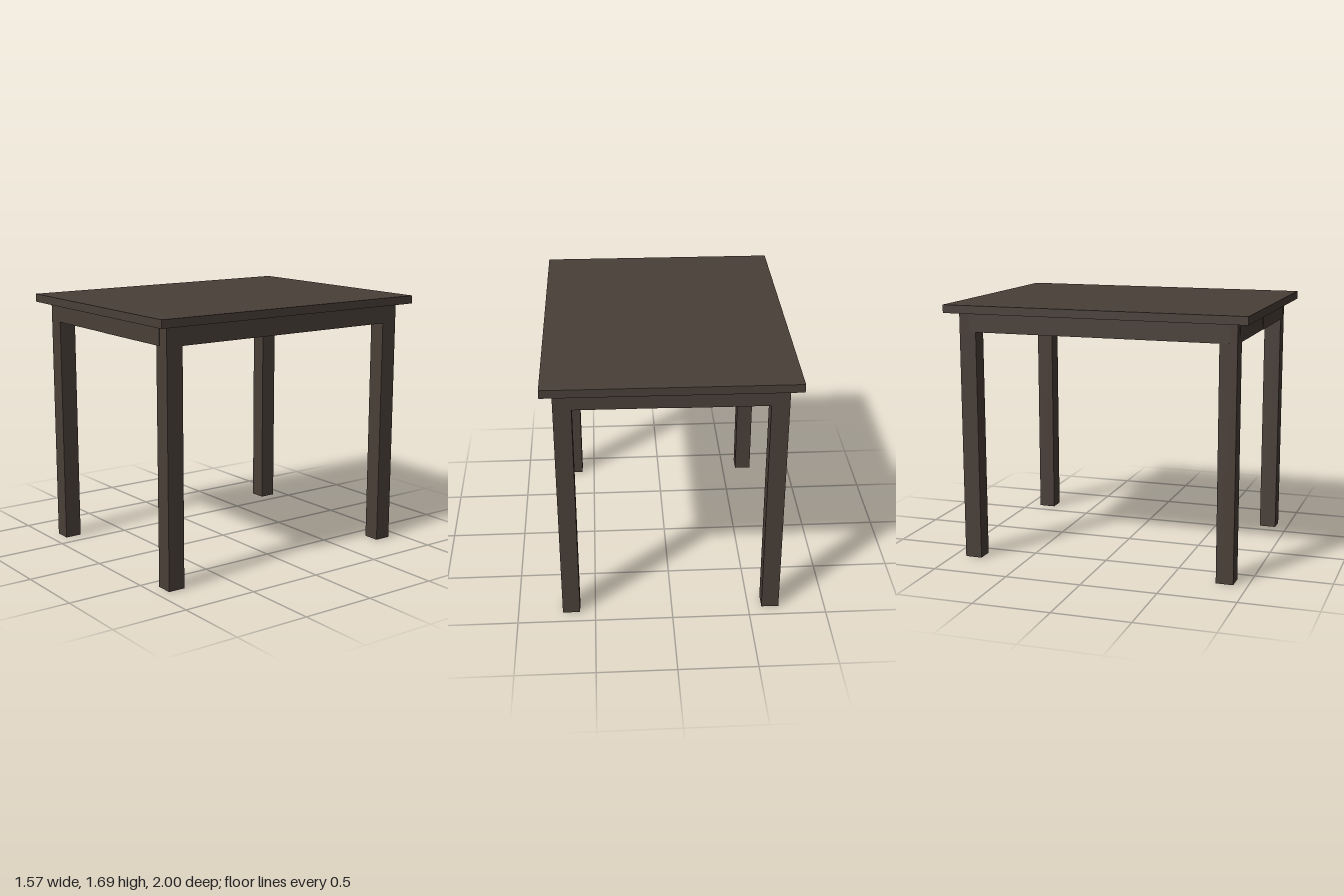
import * as THREE from 'three';

export function createModel() {
  const table = new THREE.Group();
  table.name = 'table';
  const darkWood = new THREE.MeshStandardMaterial({ color: 0x4a3f38 });
  darkWood.name = 'darkWood';

  const box = (name, w, h, d, x, y, z) => {
    const mesh = new THREE.Mesh(new THREE.BoxGeometry(w, h, d), darkWood);
    mesh.name = name;
    mesh.position.set(x, y, z);
    table.add(mesh);
    return mesh;
  };

  const legTop = 1.627, legX = 0.65, legZ = 0.858, legSize = 0.112;
  const apronH = 0.117, apronY = legTop - apronH / 2, apronT = 0.03;
  const topBottom = 1.635, topHeight = 0.053;

  // tabletop
  box('tabletop', 1.555, topHeight, 1.987, 0, topBottom + topHeight / 2, 0);

  for (const sx of [-1, 1]) {
    for (const sz of [-1, 1]) {
      // square legs
      box('leg', legSize, legTop, legSize, sx * legX, legTop / 2, sz * legZ);
      // corner blocks carrying the top just clear of the frame
      box('cornerBlock', 0.05, 0.05, 0.05, sx * (legX - 0.028), 1.612, sz * (legZ - 0.028));
      // short aprons, each in two halves meeting at the middle
      const half = box('endApronHalf', 0.64, apronH, apronT,
        sx * 0.32 - 0.008, apronY, sz * (legZ + legSize / 2 - apronT / 2 + 0.003));
      half.position.z += sx * 0.002;
    }
    // long side aprons
    box('sideApron', apronT, apronH, 1.71, sx * (legX + legSize / 2 - apronT / 2 + 0.003), apronY, 0.008);
  }

  // slight turn of the whole table
  table.rotation.y = -0.0066;
  const model = new THREE.Group();
  model.name = 'diningTable';
  model.add(table);
  return model;
}
